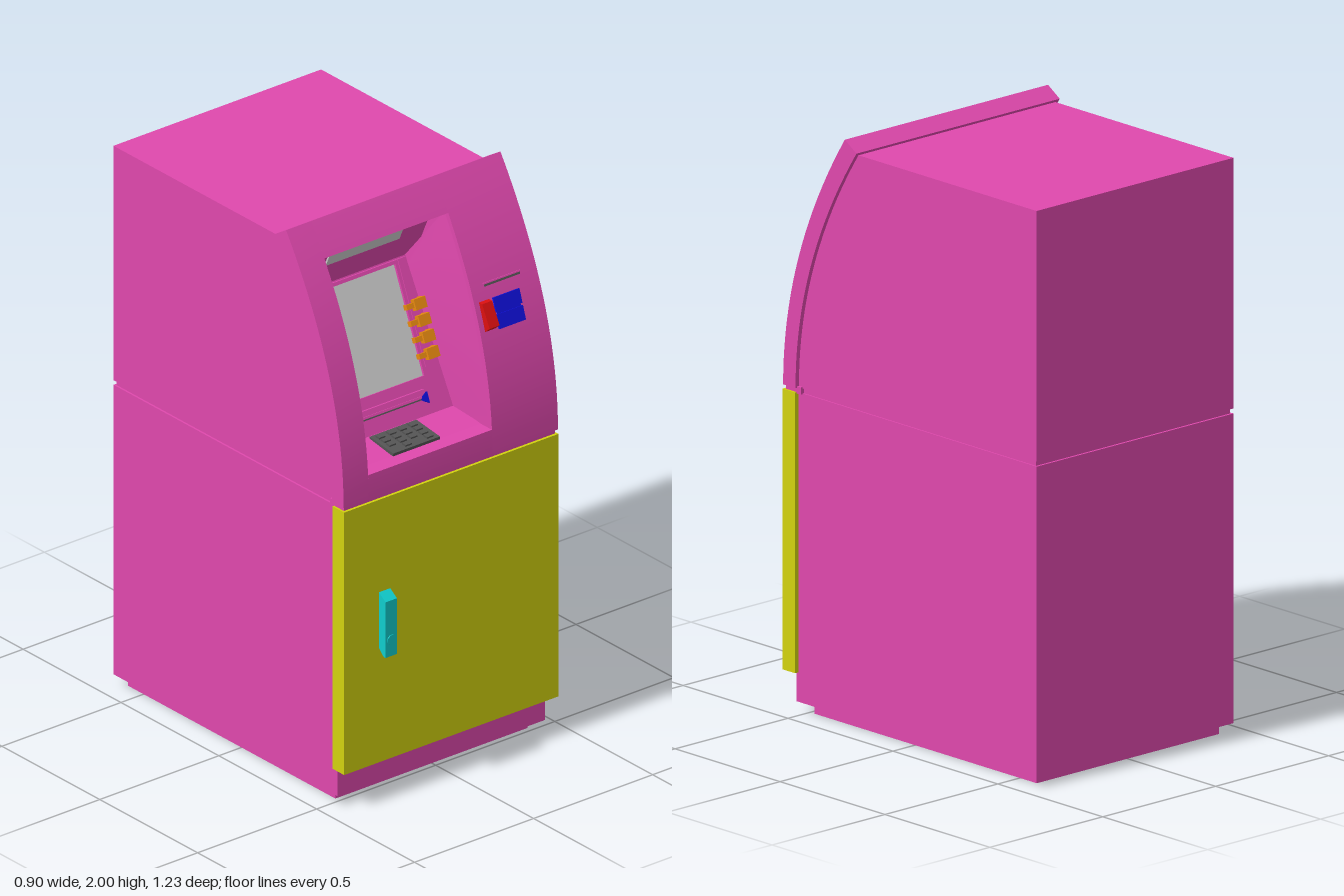
import * as THREE from 'three';
import { toCreasedNormals } from 'three/addons/utils/BufferGeometryUtils.js';

const mat = (color) => new THREE.MeshStandardMaterial({ color });
const PINK = mat(0xdf48ad), YELLOW = mat(0xd2d20f), CYAN = mat(0x10cccc), ORANGE = mat(0xe88a10);
const RED = mat(0xdd1010), BLUE = mat(0x1010dd), GREY = mat(0xcccccc), DARK = mat(0x555555);

// Curved front: depth z as a function of height y
const BASE = 1.105;
const zOuter = (y) => 0.577 - 0.367 * (y - BASE) ** 2;
const zInner = (y) => 0.518 - 0.393 * (y - BASE) ** 2;
// Points [z, y] along one of those curves
const curve = (fn, y0, y1, n = 20) => Array.from({ length: n + 1 }, (_, i) => {
  const y = y0 + (y1 - y0) * i / n;
  return [fn(y), y];
});

// Opening and sloped rear panel of the recess
const OX0 = -0.345, OX1 = 0.175, OY0 = 1.19, OY1 = 1.89;
const PB = [0.39, 1.21], PT = [0.185, 1.69];
const TILT = Math.atan2(PB[0] - PT[0], PT[1] - PB[1]);

function add(parent, name, geo, material, pos = [0, 0, 0]) {
  const m = new THREE.Mesh(geo, material);
  m.name = name;
  m.position.set(...pos);
  parent.add(m);
  return m;
}

// Box given by its limits on each axis
function box(parent, name, material, [x0, x1], [y0, y1], [z0, z1]) {
  return add(parent, name, new THREE.BoxGeometry(x1 - x0, y1 - y0, z1 - z0), material,
    [(x0 + x1) / 2, (y0 + y1) / 2, (z0 + z1) / 2]);
}

// Side profile of [z, y] points extruded from x0 to x1
function slab(parent, name, material, x0, x1, pts) {
  const shape = new THREE.Shape(pts.map((p) => new THREE.Vector2(...p)));
  const geo = new THREE.ExtrudeGeometry(shape, { depth: x1 - x0, bevelEnabled: false });
  geo.rotateY(-Math.PI / 2).translate(x1, 0, 0);
  return add(parent, name, toCreasedNormals(geo, 0.4), material);
}

// Piece of the curved fascia sheet
function fascia(parent, name, x0, x1, y0, y1) {
  const yBack = y1 > 1.97 ? 1.965 : y1;
  slab(parent, name, PINK, x0, x1, [...curve(zOuter, y0, y1), ...curve(zInner, y0, yBack).reverse()]);
}

// Tapered cheek between the opening edge and the rear panel
function cheek(parent, name, xFront, xBottom, xTop) {
  const n = 16, pos = [], idx = [];
  for (let i = 0; i <= n; i++) {
    const t = i / n, y = OY0 + (OY1 - OY0) * t;
    pos.push(xFront, y, zOuter(y) - 0.02);
    pos.push(xBottom + (xTop - xBottom) * t, PB[1] + (PT[1] - PB[1]) * t, PB[0] + (PT[0] - PB[0]) * t);
    if (i < n) idx.push(2 * i, 2 * i + 1, 2 * i + 2, 2 * i + 1, 2 * i + 3, 2 * i + 2);
  }
  const geo = new THREE.BufferGeometry();
  geo.setAttribute('position', new THREE.Float32BufferAttribute(pos, 3));
  geo.setIndex(idx);
  geo.computeVertexNormals();
  const m = PINK.clone();
  m.side = THREE.DoubleSide;
  add(parent, name, geo, m);
}

// Group lying on the curved fascia at height y, local z pointing outward
function onFascia(parent, name, x, y) {
  const g = new THREE.Group();
  g.name = name;
  g.position.set(x, y, zOuter(y));
  g.rotation.x = -Math.atan(2 * 0.367 * (y - BASE));
  parent.add(g);
  return g;
}

export function createModel() {
  const root = new THREE.Group();
  root.name = 'cashMachine';

  // Lower cabinet
  box(root, 'plinth', PINK, [-0.405, 0.402], [0, 0.045], [-0.58, 0.48]);
  box(root, 'lowerCabinet', PINK, [-0.437, 0.435], [0.038, 1.088], [-0.615, 0.53]);
  box(root, 'seam', PINK, [-0.43, 0.43], [1.08, 1.11], [-0.607, 0.51]);
  box(root, 'frontSeam', PINK, [-0.443, 0.443], [1.085, 1.11], [0.5, 0.57]);
  box(root, 'door', YELLOW, [-0.45, 0.45], [0.138, 1.09], [0.52, 0.58]);

  // Door handle with lock
  slab(root, 'handle', CYAN, -0.305, -0.257, [[0.57, 0.755], [0.58, 0.755], [0.615, 0.732], [0.615, 0.53], [0.605, 0.53], [0.58, 0.555], [0.57, 0.555]]);
  const lock = add(root, 'lock', new THREE.CylinderGeometry(0.017, 0.017, 0.006, 20), CYAN, [-0.281, 0.59, 0.615]);
  lock.rotation.x = Math.PI / 2;

  // Upper cabinet: two full sides and a hollowed middle
  const TOP = 1.955;
  const full = [[-0.615, BASE], ...curve(zInner, BASE, TOP), [-0.615, TOP]];
  slab(root, 'upperCabinetRight', PINK, -0.437, OX0, full);
  slab(root, 'upperCabinetLeft', PINK, OX1, 0.435, full);
  slab(root, 'upperCabinetMiddle', PINK, OX0, OX1, [[-0.615, BASE], ...curve(zInner, BASE, OY0, 3),
    PB, PT, ...curve(zInner, OY1, TOP, 3), [-0.615, TOP]]);

  // Curved fascia around the opening
  fascia(root, 'fasciaRight', -0.45, OX0, BASE, 2);
  fascia(root, 'fasciaLeft', OX1, 0.45, BASE, 2);
  fascia(root, 'fasciaTop', OX0, OX1, OY1, 2);
  fascia(root, 'fasciaBottom', OX0, OX1, BASE, OY0);
  cheek(root, 'recessCheekRight', OX0, -0.335, -0.302);
  cheek(root, 'recessCheekLeft', OX1, 0.163, 0.13);

  // Lamp on the sloped recess ceiling
  const cz = zInner(OY1), slope = Math.atan2(OY1 - PT[1], cz - PT[0]);
  const lampT = (1.822 - PT[1]) / (OY1 - PT[1]);
  const lamp = add(root, 'ceilingLamp', new THREE.BoxGeometry(0.31, 0.012, 0.065 / Math.sin(slope)), GREY,
    [-0.09, 1.822, PT[0] + (cz - PT[0]) * lampT]);
  lamp.rotation.x = -slope;

  // Tilted operator panel; heights are converted to distance along the slope
  const panel = new THREE.Group();
  panel.name = 'operatorPanel';
  panel.position.set(-0.087, PB[1], PB[0]);
  panel.rotation.x = -TILT;
  root.add(panel);
  const v = (y) => (y - PB[1]) / Math.cos(TILT);
  const onPanel = (name, m, x0, x1, y0, y1, d) => box(panel, name, m, [x0 + 0.087, x1 + 0.087], [v(y0), v(y1)], [-0.01, d]);

  onPanel('screen', GREY, -0.255, 0.073, 1.328, 1.675, 0.006);
  onPanel('bezelTop', PINK, -0.267, 0.085, 1.675, 1.686, 0.015);
  onPanel('bezelBottom', PINK, -0.267, 0.085, 1.317, 1.328, 0.015);
  for (const s of [-1, 1]) {
    const side = (name, m, a, b, y0, y1, d) => {
      const [x0, x1] = [s * a, s * b].sort((p, q) => p - q);
      return onPanel(name, m, x0 - 0.091, x1 - 0.091, y0, y1, d);
    };
    side('bezelSide', PINK, 0.164, 0.176, 1.317, 1.686, 0.015);
    side('buttonRail', PINK, 0.18, 0.214, 1.35, 1.686, 0.012);
    for (let i = 0; i < 4; i++) {
      const y = 1.387 + i * 0.051;
      side('screenButton', ORANGE, 0.187, 0.234, y - 0.017, y + 0.017, 0.032);
      side('buttonPointer', ORANGE, 0.158, 0.187, y - 0.008, y + 0.008, 0.024);
    }
  }

  // Cash slot under the screen
  onPanel('cashSlotFrame', PINK, -0.26, 0.06, 1.238, 1.29, 0.018);
  onPanel('cashSlotBar', PINK, -0.24, 0.035, 1.255, 1.273, 0.024);
  onPanel('cashSlotGap', DARK, -0.24, 0.03, 1.262, 1.266, 0.026);
  const arrow = add(panel, 'slotArrow', new THREE.CylinderGeometry(0.022, 0.022, 0.012, 3), BLUE, [0.136, v(1.264), 0.02]);
  arrow.rotation.set(Math.PI / 2, Math.PI / 6 + Math.PI, 0);
  arrow.rotation.set(Math.PI / 2, -Math.PI / 2, 0);

  // Keypad on the shelf
  const keypad = new THREE.Group();
  keypad.name = 'keypad';
  keypad.position.set(-0.0975, 1.202, 0.46);
  keypad.rotation.x = 0.12;
  root.add(keypad);
  add(keypad, 'keypadPlate', new THREE.BoxGeometry(0.196, 0.012, 0.122), DARK);
  for (let r = 0; r < 4; r++) {
    for (let c = 0; c < 4; c++) {
      if (r === 3 && (c === 0 || c === 2)) continue;
      add(keypad, 'key', new THREE.BoxGeometry(0.027, 0.008, 0.02), DARK, [-0.069 + c * 0.045, 0.008, -0.041 + r * 0.027]);
    }
  }

  // Card reader wedge, receipt slot and blue plate on the left fascia
  slab(root, 'cardReader', RED, 0.195, 0.237, [[0.48, 1.515], [0.515, 1.515], [0.538, 1.535], [0.5, 1.61], [0.47, 1.61]]);
  const plate = onFascia(root, 'bluePlate', 0.305, 1.56);
  box(plate, 'plateUpper', BLUE, [-0.055, 0.055], [0.004, 0.053], [-0.01, 0.006]);
  box(plate, 'plateLower', BLUE, [-0.055, 0.055], [-0.053, -0.004], [-0.01, 0.006]);
  box(plate, 'plateGroove', BLUE, [-0.05, 0.05], [-0.004, 0.004], [-0.01, 0.002]);
  const receipt = onFascia(root, 'receiptSlot', 0.305, 1.655);
  box(receipt, 'receiptGap', DARK, [-0.075, 0.075], [-0.005, 0.005], [-0.01, 0.002]);
  box(receipt, 'receiptLip', PINK, [-0.078, 0.078], [0.003, 0.008], [-0.01, 0.006]);

  return root;
}
